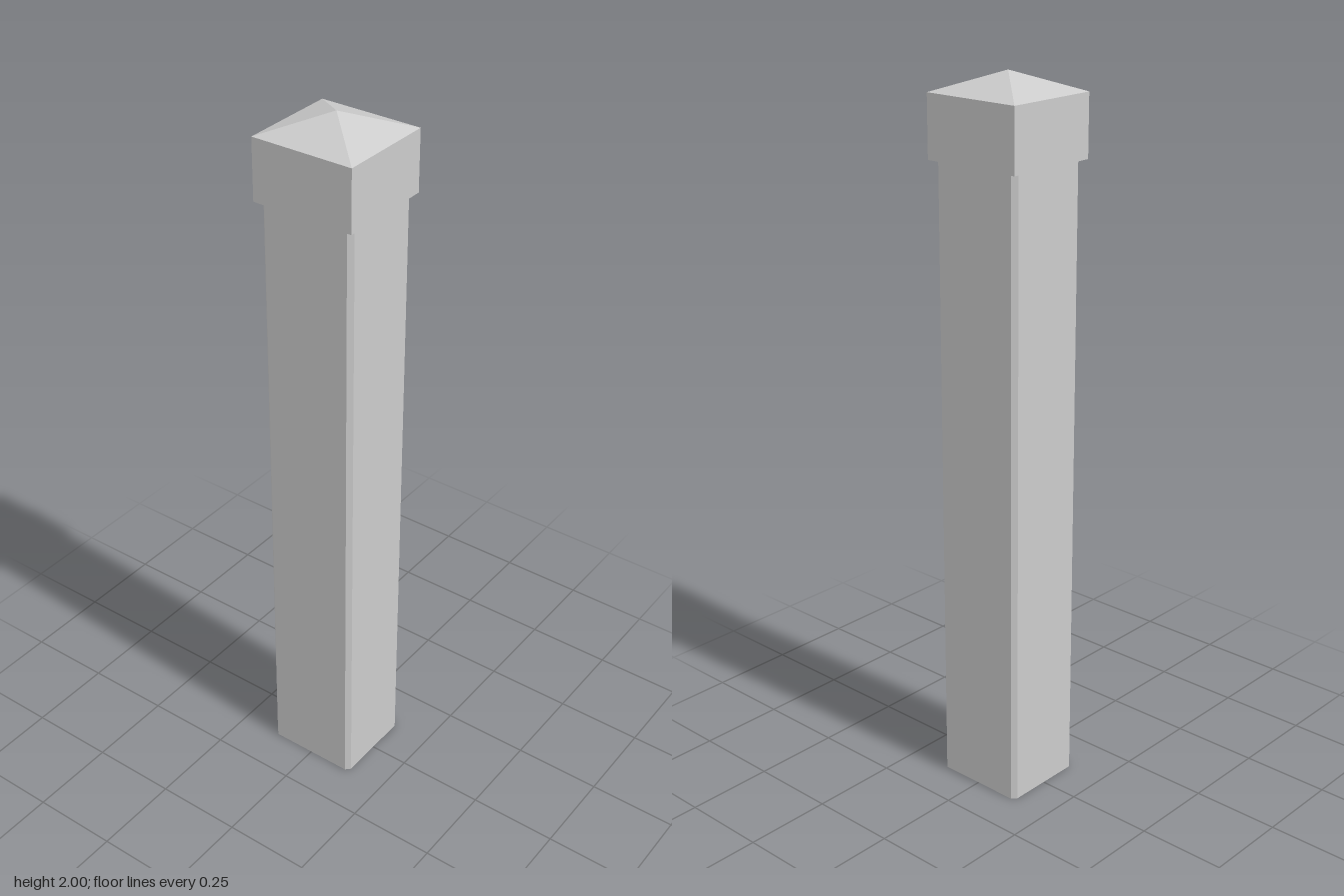
import * as THREE from 'three';

const POST = { x: 0.126, z: 0.137, chamfer: 0.013 };
const CAP = { x: 0.14, z: 0.147, bottom: 1.775, eaves: 1.945, top: 2 };

// Open tube with a chamfered rectangular section
function postGeometry(height) {
  const { x, z, chamfer: c } = POST;
  const section = [
    [x, z - c], [x, c - z], [x - c, -z], [c - x, -z],
    [-x, c - z], [-x, z - c], [c - x, z], [x - c, z],
  ];
  const positions = [];
  section.forEach(([ax, az], i) => {
    const [bx, bz] = section[(i + 1) % section.length];
    positions.push(ax, 0, az, bx, 0, bz, bx, height, bz);
    positions.push(ax, 0, az, bx, height, bz, ax, height, az);
  });
  const geometry = new THREE.BufferGeometry();
  geometry.setAttribute('position', new THREE.Float32BufferAttribute(positions, 3));
  geometry.computeVertexNormals();
  return geometry;
}

export function createModel() {
  const group = new THREE.Group();
  group.name = 'fencePost';
  const material = new THREE.MeshStandardMaterial({
    color: 0xcccccc, flatShading: true, side: THREE.DoubleSide,
  });
  const add = (name, geometry, parent) => {
    const mesh = new THREE.Mesh(geometry, material);
    mesh.name = name;
    parent.add(mesh);
  };

  // Hollow shaft, open at the foot
  add('shaft', postGeometry(CAP.bottom), group);

  // Cap: a block with a low pyramid on top
  const cap = new THREE.Group();
  cap.name = 'cap';
  group.add(cap);

  const blockHeight = CAP.eaves - CAP.bottom;
  const block = new THREE.BoxGeometry(2 * CAP.x, blockHeight, 2 * CAP.z);
  block.translate(0, CAP.bottom + blockHeight / 2, 0);
  add('capBlock', block, cap);

  const roofHeight = CAP.top - CAP.eaves;
  const roof = new THREE.ConeGeometry(Math.SQRT2, roofHeight, 4, 1, true);
  roof.rotateY(Math.PI / 4);
  roof.scale(CAP.x, 1, CAP.z);
  roof.translate(0, CAP.eaves + roofHeight / 2, 0);
  add('capPyramid', roof, cap);

  return group;
}
